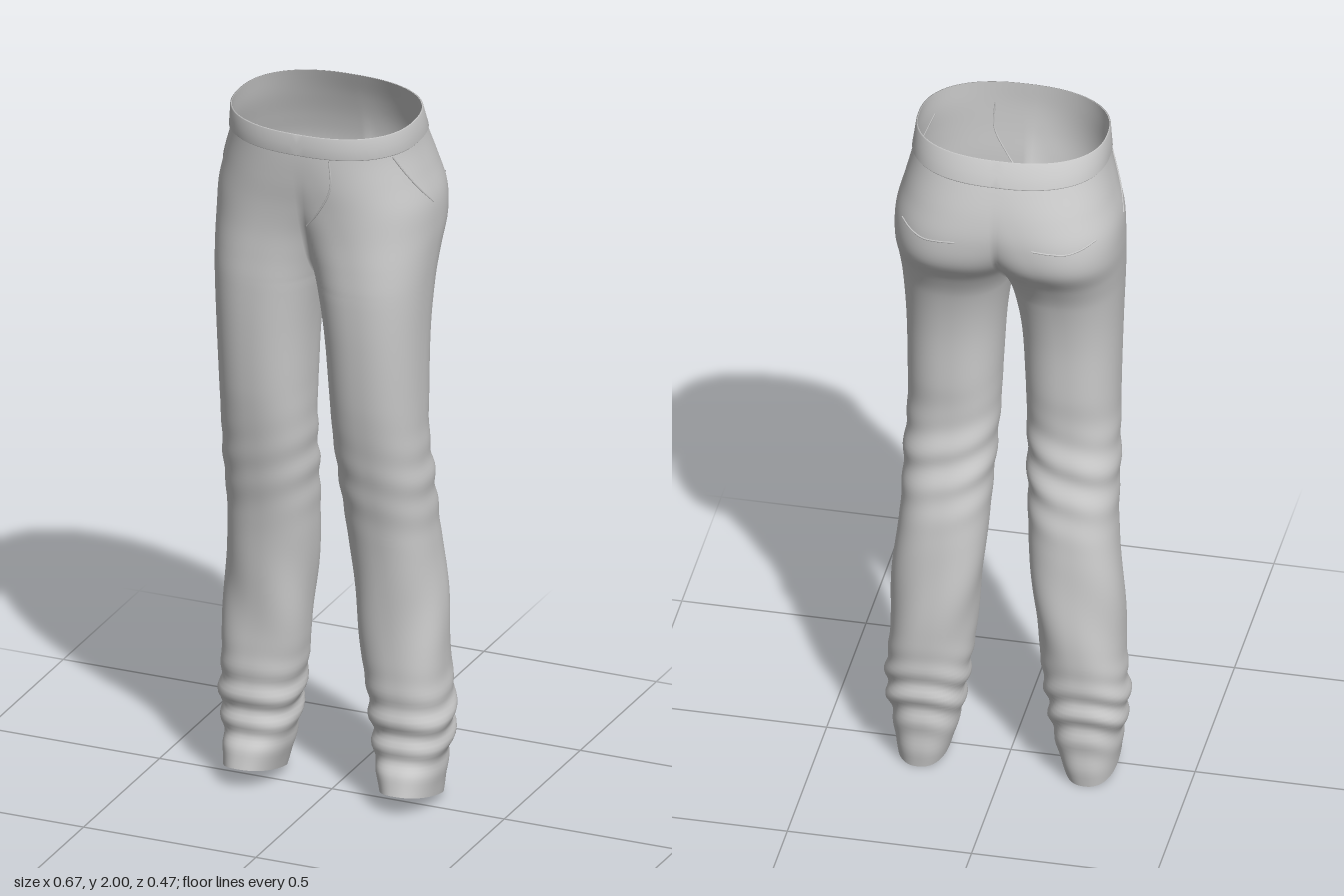
import * as THREE from 'three';
import { mergeVertices } from 'three/addons/utils/BufferGeometryUtils.js';

// Cross-sections of the left half, bottom to top:
// y, inner x, outer x, front z, back z, tilt of the section towards the front.
// An inner x below 0 means the section is cut open at the centre plane.
const SECTIONS = [
  [0.03, 0.155, 0.298, 0.11, -0.13, 0.25],
  [0.08, 0.14, 0.305, 0.1, -0.138, 0.2],
  [0.14, 0.125, 0.312, 0.08, -0.14, 0.08],
  [0.22, 0.112, 0.327, 0.076, -0.147, 0],
  [0.4, 0.09, 0.318, 0.08, -0.155, 0],
  [0.6, 0.068, 0.308, 0.086, -0.152, 0],
  [0.8, 0.054, 0.292, 0.113, -0.135, 0],
  [0.95, 0.045, 0.29, 0.145, -0.105, 0],
  [1.08, 0.039, 0.285, 0.172, -0.083, 0],
  [1.2, 0.035, 0.285, 0.192, -0.09, 0],
  [1.38, 0.024, 0.289, 0.209, -0.1, 0],
  [1.52, 0.0, 0.296, 0.215, -0.128, 0],
  [1.6, -0.028, 0.301, 0.213, -0.165, 0],
  [1.68, -0.075, 0.305, 0.211, -0.218, 0],
  [1.76, -0.14, 0.302, 0.215, -0.23, 0],
  [1.84, -0.2, 0.282, 0.224, -0.22, 0],
  [1.92, -0.245, 0.263, 0.23, -0.195, -0.02],
  [1.993, -0.254, 0.254, 0.23, -0.163, -0.04],
];
const HEM = SECTIONS[0][0], WAIST = SECTIONS.at(-1)[0];
const POWER = 0.85;
const spow = (v) => Math.sign(v) * Math.abs(v) ** POWER;
const bump = (y, centre, width) => Math.exp(-(((y - centre) / width) ** 2));

// Smooth interpolation of the sections at a height
function sectionAt(y) {
  const n = SECTIONS.length;
  let i = 0;
  while (i < n - 2 && y > SECTIONS[i + 1][0]) i++;
  const a = SECTIONS[i], b = SECTIONS[i + 1], h = b[0] - a[0], t = (y - a[0]) / h;
  const slope = (k, c) => {
    const p = SECTIONS[Math.max(k - 1, 0)], q = SECTIONS[Math.min(k + 1, n - 1)];
    return (q[c] - p[c]) / (q[0] - p[0]);
  };
  return a.map((_, c) =>
    (2 * t ** 3 - 3 * t * t + 1) * a[c] + (t ** 3 - 2 * t * t + t) * h * slope(i, c) +
    (3 * t * t - 2 * t ** 3) * b[c] + (t ** 3 - t * t) * h * slope(i + 1, c));
}

// Soft folds of cloth above the hem and behind the knee
function folds(y, a) {
  const hem = 0.007 * bump(y, 0.22, 0.1) * Math.sin(y * 75 + 2.2 * Math.sin(a) + 1.2 * Math.cos(2 * a));
  const shin = 0.004 * bump(y, 0.5, 0.2) * Math.sin(3 * a + y * 14);
  const knee = 0.005 * bump(y, 0.95, 0.12) * Math.sin(y * 58 + 2.5 * Math.cos(a)) * (0.6 - 0.4 * Math.sin(a));
  return hem + shin + knee;
}

// Point on the left half; u runs 0..1 from front centre round the outside to back centre
function surfacePoint(y, u, offset = 0) {
  const [, xin, xout, zf, zb, tilt] = sectionAt(y);
  const cx = (xin + xout) / 2, rx = (xout - xin) / 2;
  const zc = (zf + zb) / 2, rz = (zf - zb) / 2;
  const cut = Math.acos(Math.min(1, Math.max(0, cx / rx)) ** (1 / POWER));
  const a = (Math.PI - cut) * (1 - 2 * u);
  const d = offset + folds(y, a);
  const z = zc + (rz + d) * spow(Math.sin(a));
  let x = cx + (rx + d) * spow(Math.cos(a));
  if (xin <= 0 && (u === 0 || u === 1)) x = 0;
  return new THREE.Vector3(x, y + tilt * (z - zc), z);
}

// Skin rows of [height, offset] over both halves and weld them together
function loft(rows, columns) {
  const position = [], index = [];
  for (const side of [1, -1]) {
    const start = position.length / 3, w = columns + 1;
    rows.forEach(([y, offset], i) => {
      for (let j = 0; j <= columns; j++) {
        const p = surfacePoint(y, j / columns, offset);
        position.push(p.x * side, p.y, p.z);
        if (i === rows.length - 1 || j === columns) continue;
        const a = start + i * w + j, b = a + 1, c = a + w, d = c + 1;
        if (side > 0) index.push(a, b, d, a, d, c);
        else index.push(a, d, b, a, c, d);
      }
    });
  }
  const g = new THREE.BufferGeometry();
  g.setAttribute('position', new THREE.Float32BufferAttribute(position, 3));
  g.setIndex(index);
  const welded = mergeVertices(g, 1e-5);
  welded.computeVertexNormals();
  return welded;
}

export function createModel() {
  const group = new THREE.Group();
  const cloth = new THREE.MeshStandardMaterial({ color: 0xcccccc, side: THREE.DoubleSide });
  const add = (name, geometry) => {
    const mesh = new THREE.Mesh(geometry, cloth);
    mesh.name = name;
    group.add(mesh);
  };

  // Both legs and the seat as one continuous cloth
  const count = 150;
  const rows = Array.from({ length: count + 1 }, (_, i) => [HEM + ((WAIST - HEM) * i) / count, 0]);
  add('trousers', loft(rows, 72));

  // Waistband, slightly raised
  add('waistband', loft([[1.928, 0], [1.932, 0.004], [1.96, 0.004], [WAIST - 0.001, 0.004], [WAIST, 0]], 72));

  // Stitched edges that follow the cloth: list of [height, u]
  const seam = (name, points, side) => {
    const path = points.map(([y, u]) => {
      const p = surfacePoint(y, u, 0.0005);
      p.x *= side;
      return p;
    });
    add(name, new THREE.TubeGeometry(new THREE.CatmullRomCurve3(path), 24, 0.0025, 6));
  };
  for (const side of [1, -1]) {
    const s = side > 0 ? 'left' : 'right';
    seam(s + 'FrontPocketEdge', [[1.925, 0.34], [1.87, 0.38], [1.81, 0.43], [1.76, 0.48]], side);
    seam(s + 'BackPocketEdge', [[1.775, 0.67], [1.765, 0.73], [1.757, 0.79], [1.762, 0.85], [1.768, 0.9]], side);
  }
  seam('flySeam', [[1.925, 0.09], [1.84, 0.085], [1.76, 0.06], [1.71, 0.02]], 1);

  return group;
}
